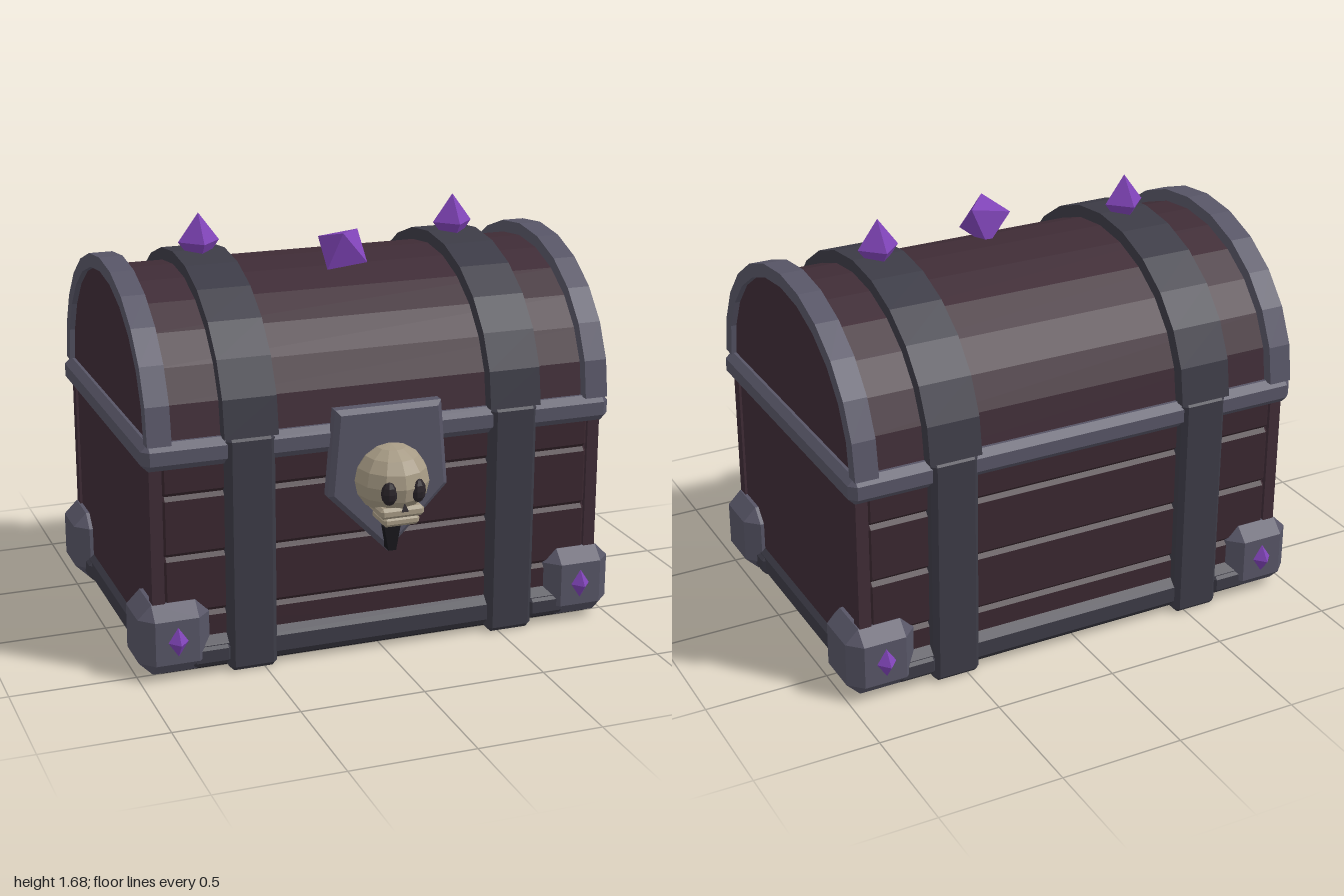
import * as THREE from 'three';
import { ConvexGeometry } from 'three/addons/geometries/ConvexGeometry.js';

const ZC = -0.08; // depth centre of the chest body

const mat = (color) => new THREE.MeshStandardMaterial({ color, flatShading: true });
const wood = mat(0x3f2c36), plankWood = mat(0x39272f), iron = mat(0x3c3b46), trim = mat(0x575566);
const gemMat = mat(0x8044b8), bone = mat(0xa69a84), dark = mat(0x17161b), socket = mat(0x2a2429);

function add(parent, name, geo, material, x = 0, y = 0, z = 0) {
  const m = new THREE.Mesh(geo, material);
  m.name = name;
  m.position.set(x, y, z);
  parent.add(m);
  return m;
}

// Box with every edge cut at 45 degrees
function chamferBox(w, h, d, c) {
  const pts = [];
  for (const sx of [-1, 1]) for (const sy of [-1, 1]) for (const sz of [-1, 1]) {
    const x = w / 2, y = h / 2, z = d / 2;
    pts.push(new THREE.Vector3(sx * x, sy * (y - c), sz * (z - c)));
    pts.push(new THREE.Vector3(sx * (x - c), sy * y, sz * (z - c)));
    pts.push(new THREE.Vector3(sx * (x - c), sy * (y - c), sz * z));
  }
  return new ConvexGeometry(pts);
}

// Chamfered box given by its limits
function block(parent, name, material, [x0, x1], [y0, y1], [z0, z1], c) {
  return add(parent, name, chamferBox(x1 - x0, y1 - y0, z1 - z0, c), material,
    (x0 + x1) / 2, (y0 + y1) / 2, (z0 + z1) / 2);
}

// Half-ellipse points with 12 facets
function arc(rx, ry) {
  return Array.from({ length: 13 }, (_, i) => {
    const a = (i / 12) * Math.PI;
    return new THREE.Vector2(rx * Math.cos(a), ry * Math.sin(a));
  });
}

// Arch extruded along x, either solid or as a band
function arch(outer, inner, width) {
  const pts = inner ? [...outer, ...inner.slice().reverse()] : outer;
  const g = new THREE.ExtrudeGeometry(new THREE.Shape(pts), { depth: width, bevelEnabled: false });
  return g.translate(0, 0, -width / 2).rotateY(Math.PI / 2);
}

function gem(parent, name, rx, ry, rz, x, y, z) {
  return add(parent, name, new THREE.OctahedronGeometry(1).scale(rx, ry, rz), gemMat, x, y, z);
}

export function createModel() {
  const chest = new THREE.Group();
  chest.name = 'treasureChest';

  // Box: core, planks with grooves between, corner posts
  const body = new THREE.Group();
  body.name = 'body';
  chest.add(body);
  add(body, 'core', new THREE.BoxGeometry(1.86, 0.84, 1.2), wood, 0, 0.47, ZC);
  const seams = [0.04, 0.25, 0.49, 0.735, 0.88];
  for (let i = 0; i < 4; i++) {
    block(body, 'plank', plankWood, [-0.895, 0.895], [seams[i], seams[i + 1]],
      [ZC - 0.618, ZC + 0.618], 0.016);
  }
  for (const sx of [-1, 1]) for (const sz of [-1, 1]) {
    add(body, 'cornerPost', new THREE.BoxGeometry(0.05, 0.84, 0.05), wood, sx * 0.915, 0.47, ZC + sz * 0.597);
  }

  // Rails around the foot and the mouth
  block(body, 'bottomRail', iron, [-0.95, 0.95], [0.02, 0.155], [ZC - 0.65, ZC + 0.65], 0.035);
  add(body, 'underside', new THREE.BoxGeometry(1.82, 0.02, 1.22), dark, 0, 0.024, ZC);
  block(body, 'topRail', trim, [-0.97, 0.97], [0.85, 0.96], [ZC - 0.655, ZC + 0.655], 0.028);

  // Domed lid with end bands
  const lid = new THREE.Group();
  lid.name = 'lid';
  lid.position.set(0, 0.955, ZC);
  chest.add(lid);
  const inner = arc(0.615, 0.53);
  add(lid, 'lidWood', arch(inner, null, 1.86), wood);
  for (const sx of [-1, 1]) {
    add(lid, 'endBand', arch(arc(0.66, 0.58), arc(0.605, 0.525), 0.095), trim, sx * 0.905);
    add(lid, 'lidStrap', arch(arc(0.668, 0.58), arc(0.605, 0.52), 0.215), iron, sx * 0.547);
    // Straps wrapping the box
    block(body, 'bodyStrap', iron, [sx * 0.547 - 0.098, sx * 0.547 + 0.098], [0, 0.962],
      [ZC - 0.668, ZC + 0.668], 0.02);
    gem(lid, 'strapGem', 0.085, 0.115, 0.085, sx * 0.547, 0.615, 0);
  }
  const topGem = gem(lid, 'centreGem', 0.115, 0.115, 0.115, 0, 0.575, 0.17);
  topGem.rotation.set(0.55, 0.75, 0.3);

  // Corner guards with gem studs
  for (const sx of [-1, 1]) for (const sz of [-1, 1]) {
    const corner = new THREE.Group();
    corner.name = 'cornerGuard';
    corner.position.z = ZC;
    chest.add(corner);
    const span = (a, b, s) => (s > 0 ? [a, b] : [-b, -a]);
    block(corner, 'guard', trim, span(0.715, 1, sx), [0.02, 0.31], span(0.39, 0.675, sz), 0.055);
    block(corner, 'guardFootFront', iron, span(0.63, 0.8, sx), [0.035, 0.125], span(0.55, 0.662, sz), 0.02);
    block(corner, 'guardFootSide', iron, span(0.85, 0.962, sx), [0.035, 0.125], span(0.33, 0.5, sz), 0.02);
    gem(corner, 'guardGem', 0.04, 0.06, 0.045, sx * 0.855, 0.167, sz * 0.677);
  }

  // Shield-shaped lock plate
  const lock = new THREE.Group();
  lock.name = 'lock';
  chest.add(lock);
  const plate = new THREE.Shape([[-0.2, 1.01], [-0.228, 0.69], [0, 0.458], [0.228, 0.69], [0.2, 1.01]]
    .map(([x, y]) => new THREE.Vector2(x, y)));
  add(lock, 'lockPlate', new THREE.ExtrudeGeometry(plate, {
    depth: 0.04, bevelEnabled: true, bevelSize: 0.02, bevelThickness: 0.018, bevelSegments: 1,
  }), trim, 0, 0, 0.562);
  const hole = new THREE.Shape([[-0.034, 0.55], [-0.016, 0.45], [0.016, 0.45], [0.034, 0.55]]
    .map(([x, y]) => new THREE.Vector2(x, y)));
  add(lock, 'keyhole', new THREE.ExtrudeGeometry(hole, { depth: 0.045, bevelEnabled: false }), dark, 0, 0, 0.61);

  // Skull: cranium narrowing to the face, jaw, sockets and nose
  const skull = new THREE.Group();
  skull.name = 'skull';
  lock.add(skull);
  const cranium = new THREE.SphereGeometry(1, 12, 8).scale(0.148, 0.14, 0.165);
  add(skull, 'cranium', cranium, bone, 0, 0.745, 0.63);
  block(skull, 'upperJaw', bone, [-0.09, 0.09], [0.622, 0.665], [0.62, 0.765], 0.012);
  block(skull, 'lowerJaw', bone, [-0.075, 0.075], [0.585, 0.625], [0.62, 0.755], 0.012);
  for (const sx of [-1, 1]) {
    const eye = add(skull, 'eyeSocket', new THREE.SphereGeometry(1, 8, 6).scale(0.032, 0.048, 0.025),
      socket, sx * 0.06, 0.73, 0.768);
    eye.rotation.y = sx * 0.35;
  }
  const nose = add(skull, 'nose', new THREE.ConeGeometry(0.018, 0.035, 3), socket, 0, 0.672, 0.775);
  nose.rotation.y = Math.PI;

  return chest;
}
